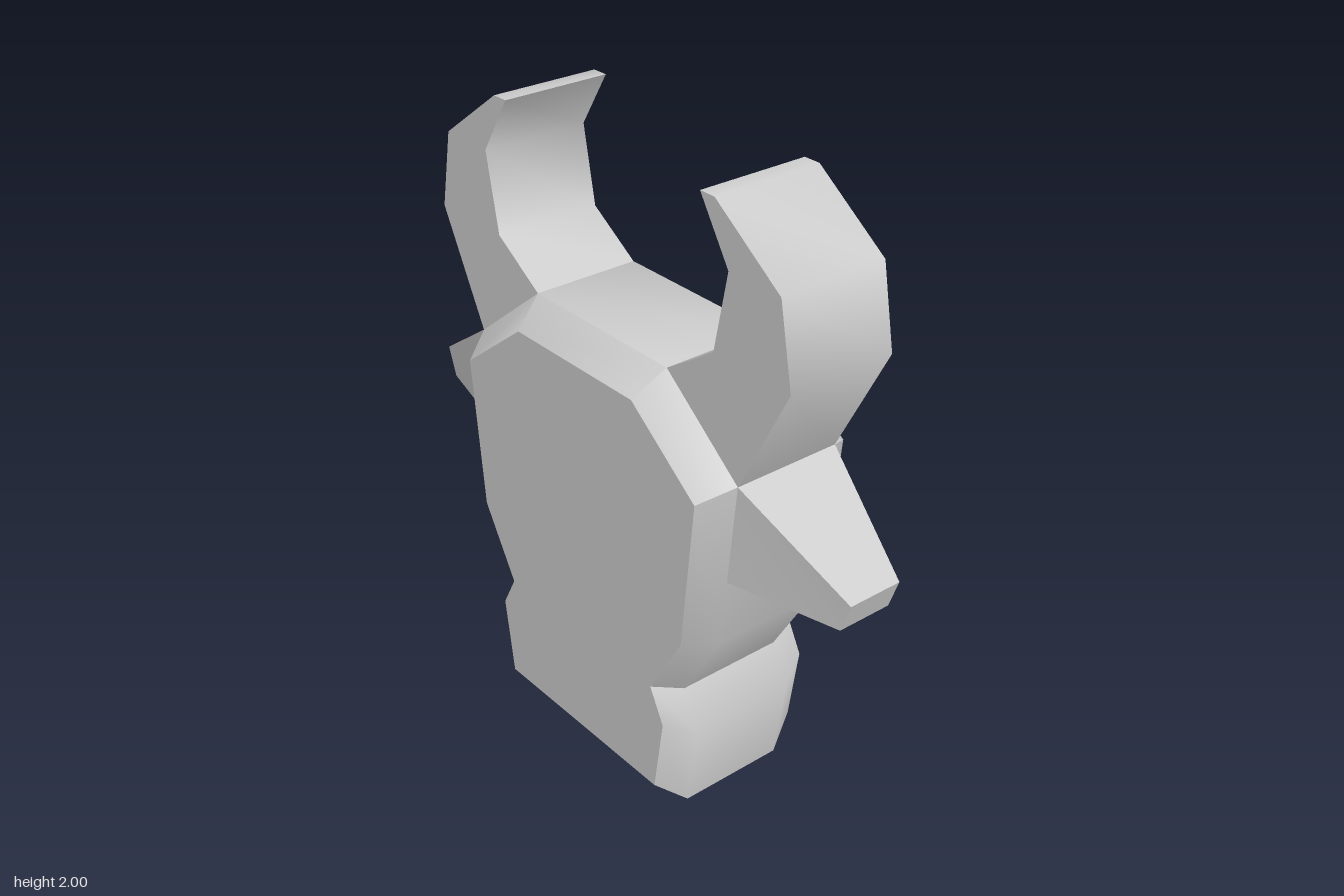
import * as THREE from 'three';
import { toCreasedNormals } from 'three/addons/utils/BufferGeometryUtils.js';

const material = new THREE.MeshStandardMaterial({ color: 0xcccccc });

// Closed solid through outline rings ordered back to front; points are [x, y, z]
function loft(name, rings, crease) {
  const loops = rings.map(r => r.map(p => new THREE.Vector3(...p)));
  if (THREE.ShapeUtils.isClockWise(loops[0])) loops.forEach(l => l.reverse());
  const n = loops[0].length;
  const index = [];
  for (let k = 0; k < loops.length - 1; k++) {
    for (let i = 0; i < n; i++) {
      const j = (i + 1) % n;
      const a = k * n + i, b = k * n + j;
      index.push(a, b, b + n, a, b + n, a + n);
    }
  }
  // Flat caps at the back and front
  const cap = loop => THREE.ShapeUtils.triangulateShape(loop.map(p => new THREE.Vector2(p.x, p.y)), []);
  const last = (loops.length - 1) * n;
  for (const [a, b, c] of cap(loops[0])) index.push(c, b, a);
  for (const [a, b, c] of cap(loops[loops.length - 1])) index.push(last + a, last + b, last + c);

  const geometry = new THREE.BufferGeometry().setFromPoints(loops.flat());
  geometry.setIndex(index);
  const mesh = new THREE.Mesh(toCreasedNormals(geometry, crease), material);
  mesh.name = name;
  return mesh;
}

const atDepth = (points, z) => points.map(([x, y]) => [x, y, z]);
const mirrored = half => [...half, ...half.map(([x, y]) => [-x, y]).reverse()];

export function createModel() {
  const group = new THREE.Group();
  group.name = 'hornedHead';
  const rim = 0.178, face = 0.275;

  // Head: wide rim between two smaller flat faces, from crown to muzzle
  const outer = mirrored([[0.295, 1.45], [0.592, 1.215], [0.537, 0.67], [0.385, 0.415], [0.45, 0.285], [0.407, 0]]);
  const inner = mirrored([[0.262, 1.37], [0.53, 1.165], [0.48, 0.675], [0.345, 0.445], [0.403, 0.335], [0.365, 0.08]]);
  group.add(loft('head', [
    atDepth(inner, -face), atDepth(outer, -rim), atDepth(outer, rim), atDepth(inner, face),
  ], 0.8));

  const horn = [[0.295, 1.45], [0.592, 1.215], [0.775, 1.57], [0.727, 1.82],
    [0.475, 2], [0.42, 2], [0.533, 1.82], [0.482, 1.57]];
  // Ear corners: x, y, half depth
  const ear = [[0.592, 1.215, rim], [0.558, 0.89, rim], [0.912, 0.89, 0.09], [0.945, 0.985, 0.09]];

  for (const [side, s] of [['left', 1], ['right', -1]]) {
    const hornSide = horn.map(([x, y]) => [s * x, y]);
    group.add(loft(side + 'Horn', [atDepth(hornSide, -rim), atDepth(hornSide, rim)], 0.8));
    group.add(loft(side + 'Ear', [-1, 1].map(d => ear.map(([x, y, z]) => [s * x, y, d * z])), 0.3));
  }
  return group;
}
